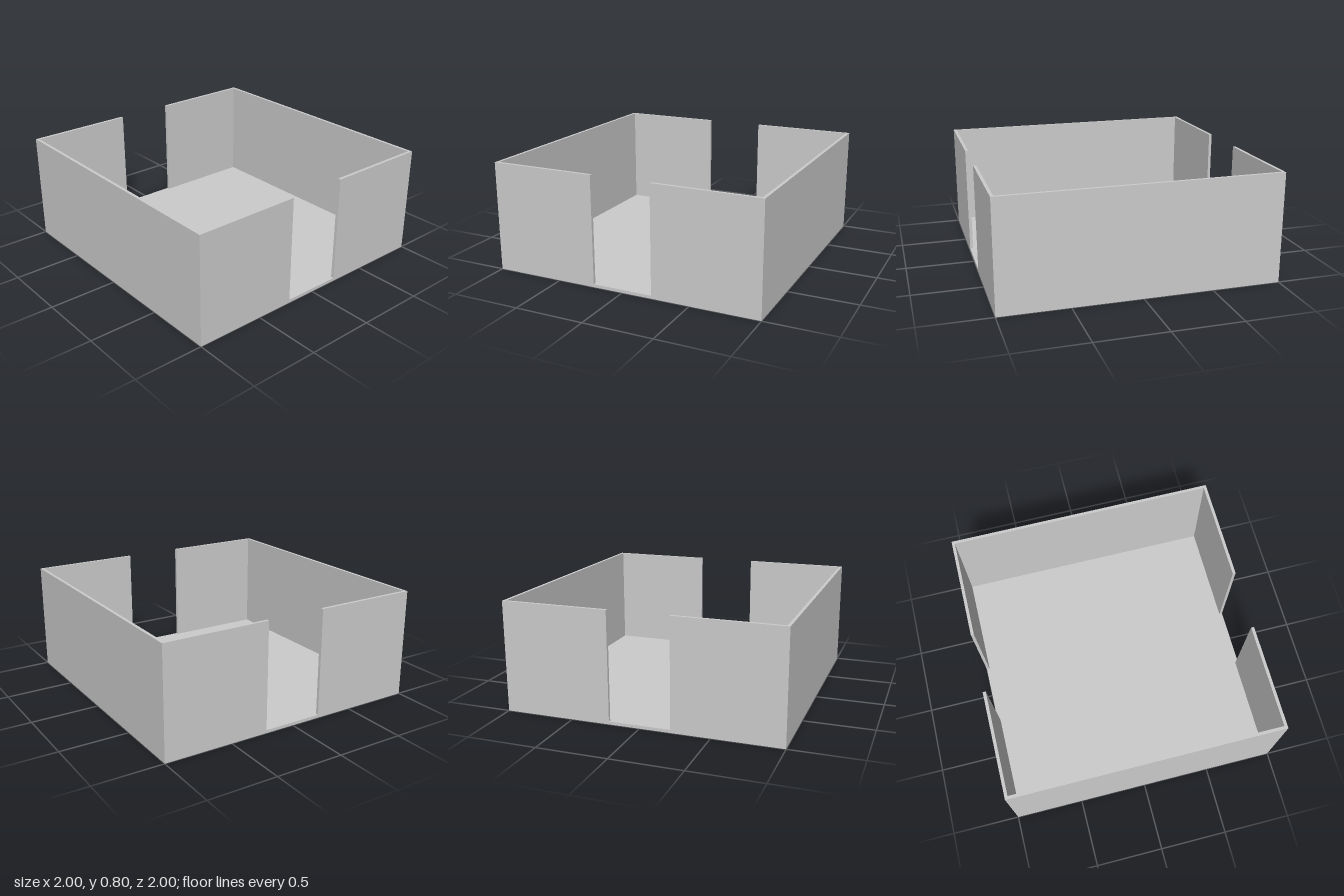
import * as THREE from 'three';

const SIZE = 2, HEIGHT = 0.8, THICK = 0.0222, GAP = 0.444;

export function createModel() {
  const model = new THREE.Group();
  model.name = 'openRoom';
  const material = new THREE.MeshStandardMaterial({ color: 0xcccccc, flatShading: true });

  const addBox = (name, w, h, d, x, y, z) => {
    const mesh = new THREE.Mesh(new THREE.BoxGeometry(w, h, d), material);
    mesh.name = name;
    mesh.position.set(x, y + h / 2, z);
    model.add(mesh);
  };

  // Floor slab, with the walls standing on it
  addBox('floor', SIZE, THICK, SIZE, 0, 0, 0);

  const wallHeight = HEIGHT - THICK;
  const edge = (SIZE - THICK) / 2;
  const panelWidth = (SIZE - GAP) / 2 - THICK;
  const panelX = GAP / 2 + panelWidth / 2;

  for (const [side, sx] of [['left', 1], ['right', -1]]) {
    // Full-length side wall
    addBox(`${side}Wall`, THICK, wallHeight, SIZE, sx * edge, THICK, 0);
    // End panels flanking the front and back doorways
    for (const [end, sz] of [['Front', 1], ['Back', -1]]) {
      addBox(`${side}${end}Panel`, panelWidth, wallHeight, THICK, sx * panelX, THICK, sz * edge);
    }
  }
  return model;
}
